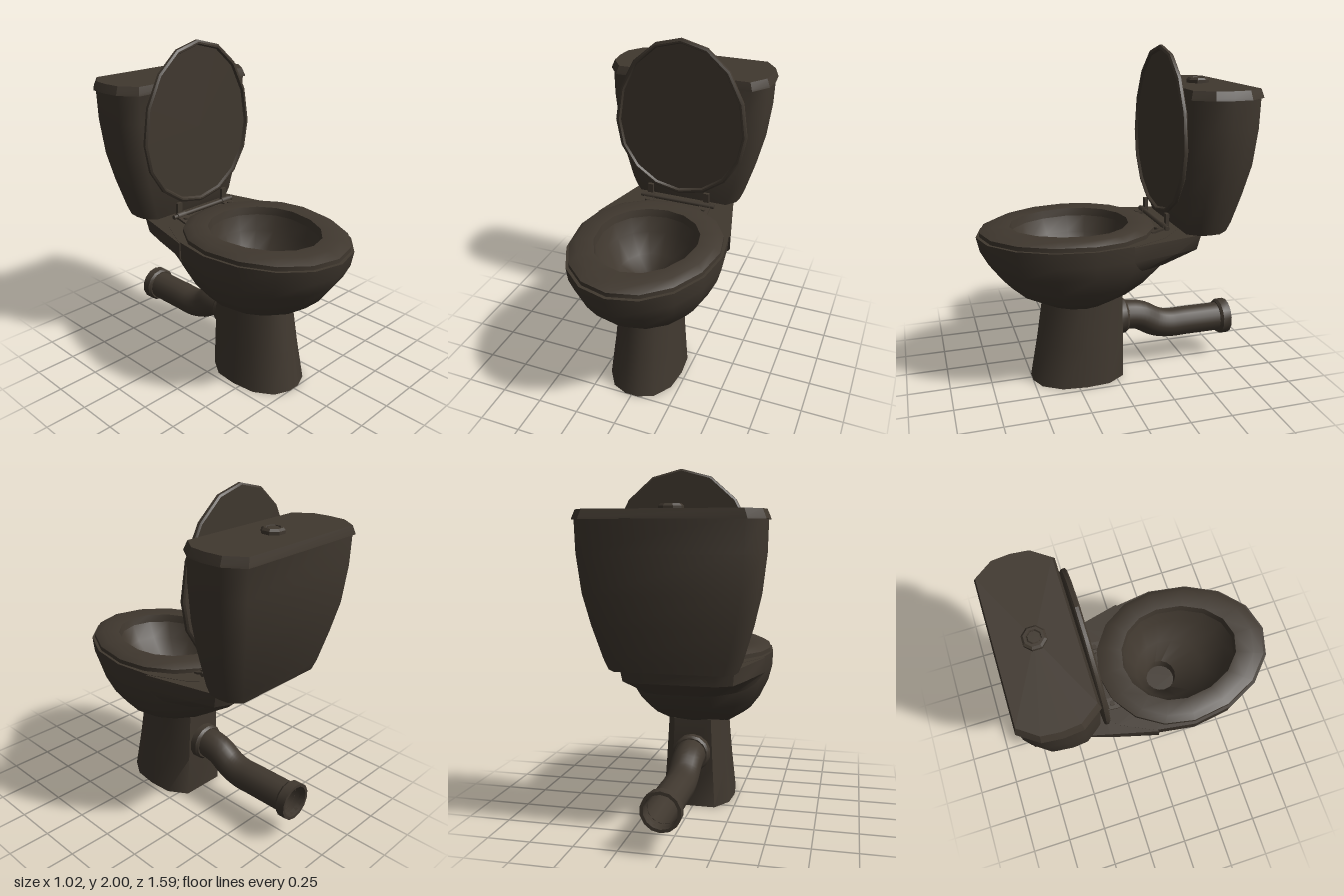
import * as THREE from 'three';
import { toCreasedNormals } from 'three/addons/utils/BufferGeometryUtils.js';

// Joins rings of [x, y, z] points; optionally closes the first and last ring.
function loft(rings, crease = 0.75, capStart = true, capEnd = true) {
  const n = rings[0].length, pos = rings.flat(2), idx = [];
  for (let j = 0; j < rings.length - 1; j++) {
    for (let i = 0; i < n; i++) {
      const k = (i + 1) % n, a = j * n, b = a + n;
      idx.push(a + i, a + k, b + k, a + i, b + k, b + i);
    }
  }
  const cap = (j, flip) => {
    const c = pos.length / 3;
    for (let m = 0; m < 3; m++) pos.push(rings[j].reduce((s, p) => s + p[m], 0) / n);
    for (let i = 0; i < n; i++) {
      const a = j * n + i, b = j * n + (i + 1) % n;
      if (flip) idx.push(c, b, a); else idx.push(c, a, b);
    }
  };
  if (capStart) cap(0, true);
  if (capEnd) cap(rings.length - 1, false);
  const g = new THREE.BufferGeometry();
  g.setAttribute('position', new THREE.Float32BufferAttribute(pos, 3));
  g.setIndex(idx);
  return toCreasedNormals(g, crease);
}

// Sixteen-sided egg: half width, front z, back z, height, z of the widest point.
function egg(w, zf, zb, y, mid = 0.2) {
  return Array.from({ length: 16 }, (_, i) => {
    const a = (i / 16) * Math.PI * 2, c = Math.cos(a);
    return [w * Math.sin(a), y, mid + c * (c > 0 ? zf - mid : mid - zb)];
  });
}

// Ring from the +x half of an outline, mirrored to -x.
function mirrored(half, y) {
  const pts = half.map(([x, z]) => [x, y, z]);
  return pts.concat(half.slice().reverse().map(([x, z]) => [-x, y, z]));
}

// Ten-sided cistern outline with cut corners.
function tankRing(w, zf, zb, y) {
  const m = (zf + zb) / 2, h = (zf - zb) / 2;
  return mirrored([[0.83, 1], [0.98, 0.5], [1, 0], [0.98, -0.5], [0.83, -1]]
    .map(([x, z]) => [x * w, m + z * h]), y);
}

export function createModel() {
  const group = new THREE.Group();
  const mat = new THREE.MeshStandardMaterial({ color: 0x40382f, side: THREE.DoubleSide });
  mat.name = 'dark brown';
  const add = (name, geo, x = 0, y = 0, z = 0) => {
    const m = new THREE.Mesh(geo, mat);
    m.name = name;
    m.position.set(x, y, z);
    group.add(m);
    return m;
  };

  // Pedestal: rounded front, flat back
  const foot = (w, zf, y) => mirrored([[0.04, zf], [0.6 * w, zf - 0.04], [0.92 * w, zf - 0.15],
    [w, 0.2], [0.95 * w, 0.06], [0.62 * w, -0.05]], y);
  add('pedestal', loft([foot(0.22, 0.5, 0), foot(0.2, 0.455, 0.25), foot(0.18, 0.41, 0.55)], 1));

  // Bowl: outside upwards, over the rim, then down to the drain
  add('bowl', loft([
    egg(0.1, 0.3, 0.1, 0.497), egg(0.21, 0.425, 0.02, 0.51), egg(0.315, 0.565, -0.13, 0.58),
    egg(0.375, 0.655, -0.26, 0.66), egg(0.425, 0.735, -0.375, 0.767), egg(0.447, 0.78, -0.41, 0.85),
    egg(0.452, 0.8, -0.42, 0.94), egg(0.3, 0.605, -0.105, 0.94),
    egg(0.27, 0.55, -0.08, 0.84), egg(0.19, 0.41, -0.02, 0.71, 0.18),
    egg(0.1, 0.235, 0.04, 0.62, 0.135), egg(0.09, 0.225, 0.05, 0.54, 0.135),
  ]));

  // Deck behind the bowl, carrying the cistern
  add('deck', loft([
    mirrored([[0.1, -0.16], [0.36, -0.08], [0.29, -0.24], [0.2, -0.34], [0.12, -0.37]], 0.767),
    mirrored([[0.13, -0.14], [0.43, -0.02], [0.355, -0.3], [0.31, -0.44], [0.22, -0.485]], 0.85),
    mirrored([[0.13, -0.14], [0.43, -0.02], [0.36, -0.3], [0.32, -0.46], [0.23, -0.51]], 0.938),
  ], 0.6));

  // Seat ring
  add('seat', loft([
    egg(0.436, 0.78, -0.26, 0.938), egg(0.436, 0.78, -0.26, 0.965), egg(0.4, 0.71, -0.2, 0.99),
    egg(0.3, 0.605, -0.105, 0.985), egg(0.292, 0.595, -0.097, 0.938),
  ], 0.7, false, false));

  // Raised lid: shallow dish facing forward
  const lidRing = (inset, y) => egg(0.42 - inset, 0.44 - inset, -0.55 + inset, y, 0);
  const lid = loft([lidRing(0.01, 0), lidRing(0, 0.008), lidRing(0, 0.025), lidRing(0.012, 0.033),
    lidRing(0.022, 0.033), lidRing(0.03, 0.018)], 0.5);
  lid.rotateX(Math.PI / 2);
  add('lid', lid, 0, 1.45, -0.325);

  // Hinge bar, arms and floor plates
  const bar = new THREE.CylinderGeometry(0.014, 0.014, 0.49, 8);
  bar.rotateZ(Math.PI / 2);
  add('hingeBar', bar, 0, 0.968, -0.28);
  for (const s of [-1, 1]) {
    const x = s * 0.187;
    add('hingeArm', new THREE.BoxGeometry(0.035, 0.09, 0.02), x, 1.0, -0.295);
    const sleeve = new THREE.CylinderGeometry(0.02, 0.02, 0.06, 8);
    sleeve.rotateZ(Math.PI / 2);
    add('hingeSleeve', sleeve, x, 0.968, -0.28);
    const plate = add('hingePlate', new THREE.BoxGeometry(0.07, 0.012, 0.09), x, 0.953, -0.24);
    plate.rotation.x = 0.25;
    add('hingeBolt', new THREE.CylinderGeometry(0.016, 0.016, 0.02, 8), x, 0.957, -0.235);
  }

  // Cistern, its cover and the flush button
  add('cistern', loft([
    tankRing(0.35, -0.38, -0.63, 0.94), tankRing(0.375, -0.365, -0.65, 1.0),
    tankRing(0.43, -0.353, -0.69, 1.18), tankRing(0.47, -0.345, -0.725, 1.35),
    tankRing(0.495, -0.34, -0.742, 1.56), tankRing(0.5, -0.34, -0.745, 1.74),
  ], 1));
  add('cisternCover', loft([tankRing(0.512, -0.328, -0.757, 1.73),
    tankRing(0.508, -0.33, -0.755, 1.742), tankRing(0.492, -0.342, -0.745, 1.78)], 0.3));
  const button = new THREE.LatheGeometry([[0.066, 0], [0.066, 0.018], [0.054, 0.03], [0.04, 0.03],
    [0.036, 0.02], [0.032, 0.027], [0, 0.027]].map(p => new THREE.Vector2(...p)), 8, Math.PI / 8);
  add('flushButton', toCreasedNormals(button, 0.3), 0, 1.78, -0.543);

  // Waste pipe with a collar at each end
  const path = new THREE.CatmullRomCurve3([[0.345, -0.04], [0.345, -0.13], [0.33, -0.2],
    [0.275, -0.3], [0.255, -0.38], [0.255, -0.5], [0.255, -0.78]]
    .map(([y, z]) => new THREE.Vector3(0, y, z)));
  add('wastePipe', new THREE.TubeGeometry(path, 28, 0.092, 14, false));
  const collar = (name, y, z, profile) => {
    const g = new THREE.LatheGeometry(profile.map(p => new THREE.Vector2(...p)), 14);
    g.rotateX(-Math.PI / 2);
    add(name, toCreasedNormals(g, 0.6), 0, y, z);
  };
  collar('innerCollar', 0.345, -0.05, [[0.112, 0], [0.112, 0.04], [0.1, 0.055], [0.09, 0.055]]);
  collar('outerCollar', 0.255, -0.725, [[0.09, 0], [0.1, 0], [0.112, 0.015], [0.112, 0.068],
    [0.094, 0.068], [0.09, 0.03]]);

  return group;
}
